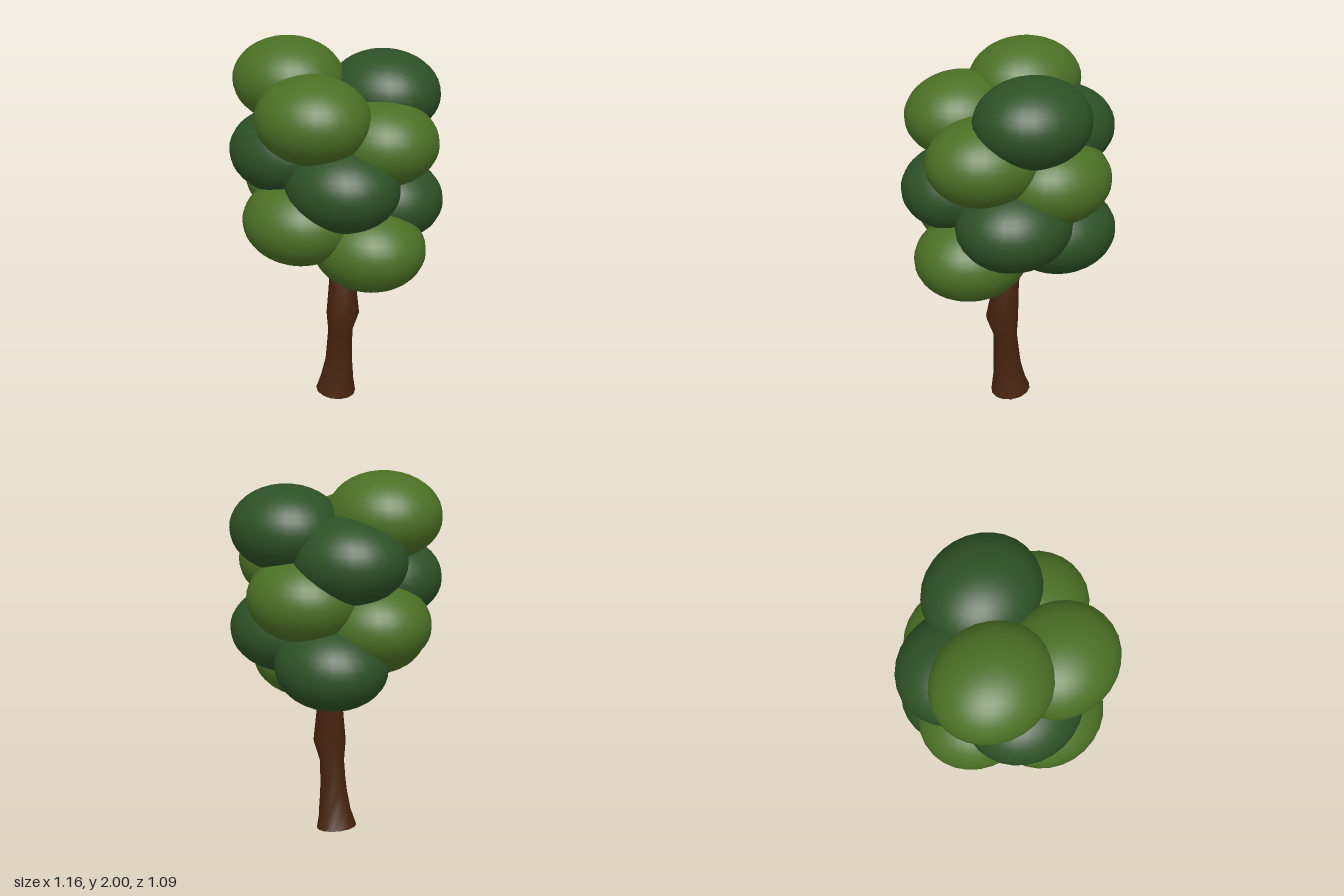
import * as THREE from 'three';

const lightLeaf = new THREE.MeshStandardMaterial({ color: 0x4b7025 });
lightLeaf.name = 'light leaf green';
const darkLeaf = new THREE.MeshStandardMaterial({ color: 0x2d5026 });
darkLeaf.name = 'dark leaf green';
const bark = new THREE.MeshStandardMaterial({ color: 0x48240f });
bark.name = 'bark brown';

// Trunk rings from the ground up: centre x, y, z, radius, slope in x, twist
const RINGS = [
  [-0.007, 0.02, 0, 0.11, -0.14, 0],
  [0.008, 0.11, 0, 0.09, -0.06, -0.3],
  [0.02, 0.22, 0, 0.075, 0, -0.6],
  [0.035, 0.4, 0, 0.067, 0, -0.9],
  [0.056, 0.51, 0, 0.089, 0, -0.9],
  [0.04, 0.68, -0.01, 0.073, 0, -0.9],
  [0.03, 0.78, -0.012, 0.07, 0, -0.9],
  [0.0, 0.9, -0.01, 0.065, 0.1, -0.9],
  [-0.04, 1.05, 0, 0.05, 0.2, -0.9],
];

function trunkGeometry(sides = 14) {
  const positions = [];
  const indices = [];
  for (const [cx, cy, cz, r, slope, twist] of RINGS) {
    for (let j = 0; j < sides; j++) {
      const a = (j / sides) * Math.PI * 2 + twist;
      const dx = Math.cos(a) * r;
      positions.push(cx + dx, cy + dx * slope, cz + Math.sin(a) * r);
    }
  }
  for (let i = 0; i < RINGS.length - 1; i++) {
    for (let j = 0; j < sides; j++) {
      const k = (j + 1) % sides;
      const a = i * sides + j, b = i * sides + k;
      indices.push(a, a + sides, b, b, a + sides, b + sides);
    }
  }
  // Base cap with its own vertices for a sharp edge
  const start = positions.length / 3;
  for (let j = 0; j < sides; j++) positions.push(...positions.slice(j * 3, j * 3 + 3));
  for (let j = 1; j < sides - 1; j++) indices.push(start, start + j, start + j + 1);

  const geometry = new THREE.BufferGeometry();
  geometry.setAttribute('position', new THREE.Float32BufferAttribute(positions, 3));
  geometry.setIndex(indices);
  geometry.computeVertexNormals();
  return geometry;
}

export function createModel() {
  const tree = new THREE.Group();
  tree.name = 'tree';

  const trunk = new THREE.Mesh(trunkGeometry(), bark);
  trunk.name = 'trunk';
  tree.add(trunk);

  // Leaf clumps climb in a spiral, alternating light and dark
  const crown = new THREE.Group();
  crown.name = 'crown';
  const clumpGeometry = new THREE.SphereGeometry(1, 28, 20);
  clumpGeometry.scale(0.314, 0.225, 0.284);
  for (let i = 0; i < 13; i++) {
    const angle = THREE.MathUtils.degToRad(i * 137.5);
    const clump = new THREE.Mesh(clumpGeometry, i % 2 ? darkLeaf : lightLeaf);
    clump.name = `leafClump${i + 1}`;
    clump.position.set(0.268 * Math.cos(angle), 0.952 + i * 0.0686, -0.268 * Math.sin(angle));
    crown.add(clump);
  }
  tree.add(crown);
  return tree;
}
